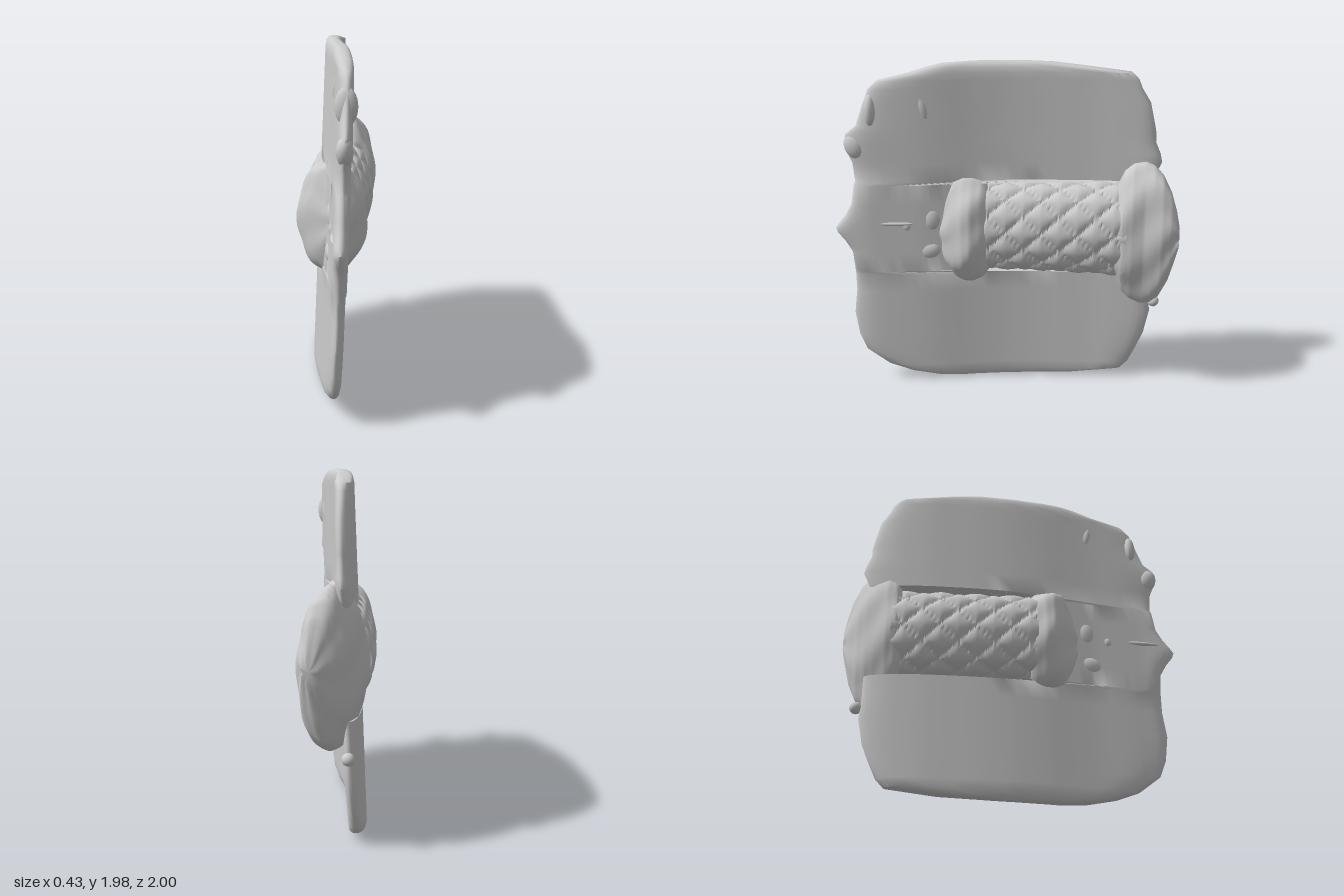
import * as THREE from 'three';
import { toCreasedNormals } from 'three/addons/utils/BufferGeometryUtils.js';

const material = new THREE.MeshStandardMaterial({ color: 0xcccccc });

// Piecewise linear lookup in a list of [key, value, value...] rows
function sample(rows, k) {
  if (k <= rows[0][0]) return rows[0];
  for (let i = 1; i < rows.length; i++) {
    if (k <= rows[i][0]) {
      const a = rows[i - 1], b = rows[i];
      const f = (k - a[0]) / (b[0] - a[0] || 1);
      return a.map((v, j) => v + (b[j] - v) * f);
    }
  }
  return rows[rows.length - 1];
}

// Closed skin over rings with equal point counts, capped at both ends
function loft(rings) {
  const n = rings[0].length, pos = [], index = [];
  rings.forEach((r) => r.forEach((p) => pos.push(p.x, p.y, p.z)));
  for (let i = 0; i < rings.length - 1; i++) {
    for (let j = 0; j < n; j++) {
      const a = i * n + j, b = i * n + (j + 1) % n;
      index.push(a, b, a + n, b, b + n, a + n);
    }
  }
  [0, rings.length - 1].forEach((e) => {
    const c = new THREE.Vector3();
    rings[e].forEach((p) => c.addScaledVector(p, 1 / n));
    const m = pos.length / 3;
    pos.push(c.x, c.y, c.z);
    for (let j = 0; j < n; j++) {
      const a = e * n + j, b = e * n + (j + 1) % n;
      if (e === 0) index.push(m, b, a);
      else index.push(m, a, b);
    }
  });
  // turn the faces outward if the enclosed volume is negative
  let volume = 0;
  const v = (i) => new THREE.Vector3().fromArray(pos, i * 3);
  for (let i = 0; i < index.length; i += 3) volume += v(index[i]).dot(v(index[i + 1]).cross(v(index[i + 2])));
  if (volume < 0) index.reverse();
  const g = new THREE.BufferGeometry();
  g.setAttribute('position', new THREE.Float32BufferAttribute(pos, 3));
  g.setIndex(index);
  return toCreasedNormals(g, 0.9);
}

// Bent, slightly tilted middle surface of the plate: z -> x
const bend = [[-0.9, -0.07], [-0.7, -0.083], [-0.5, -0.085], [-0.2, -0.065], [0, -0.04],
  [0.2, 0], [0.35, 0.04], [0.5, 0.075], [0.8, 0.125], [1, 0.14]];
const plateX = (z, y) => sample(bend, z)[1] + 0.04 * (y - 1);

// Plate outline: y, front z, back z, half thickness; the middle rows leave a slot for the grip
const outline = [
  [0, 0.3, -0.1, 0.02], [0.015, 0.44, -0.45, 0.04], [0.05, 0.6, -0.7, 0.05], [0.1, 0.73, -0.745, 0.05],
  [0.2, 0.86, -0.79, 0.05], [0.3, 0.9, -0.83, 0.05], [0.45, 0.92, -0.86, 0.05], [0.6, 0.9, -0.85, 0.05],
  [0.71, 0.9, -0.85, 0.05], [0.73, 0.9, 0.12, 0.05], [0.85, 0.91, 0.12, 0.05], [0.92, 0.95, 0.12, 0.05],
  [0.97, 0.99, 0.12, 0.05], [1, 1, 0.12, 0.05], [1.03, 0.98, 0.12, 0.05], [1.08, 0.94, 0.12, 0.05],
  [1.15, 0.9, 0.12, 0.05], [1.27, 0.88, 0.12, 0.05], [1.29, 0.87, -0.84, 0.05], [1.4, 0.88, -0.89, 0.05],
  [1.45, 0.9, -0.88, 0.05], [1.52, 0.92, -0.85, 0.05], [1.57, 0.91, -0.85, 0.05], [1.62, 0.85, -0.84, 0.05],
  [1.75, 0.8, -0.81, 0.05], [1.83, 0.77, -0.76, 0.05], [1.88, 0.72, -0.74, 0.05], [1.92, 0.55, -0.7, 0.05],
  [1.95, 0.45, -0.45, 0.045], [1.97, 0.37, -0.28, 0.035], [1.98, 0.2, -0.1, 0.015],
];

function plateGeometry() {
  const rings = outline.map(([y, zf, zb, t]) => {
    const ring = [];
    for (let j = 0; j < 64; j++) {
      const a = (j / 64) * Math.PI * 2, u = Math.cos(a);
      const z = (zf + zb) / 2 + (u * (zf - zb)) / 2;
      const half = t * Math.sqrt(Math.max(0, 1 - u ** 10)) * (z > 0.4 ? 1 - (z - 0.4) * 0.35 : 1);
      ring.push(new THREE.Vector3(plateX(z, y) + Math.sign(Math.sin(a)) * half, y, z));
    }
    return ring;
  });
  return loft(rings);
}

// Oval body along z from rows [z, centre x, half width, bottom y, top y]; relief pushes the skin out
function ovalBody(rows, steps, relief = () => 0) {
  const rings = [], first = rows[0][0], last = rows[rows.length - 1][0];
  for (let i = 0; i <= steps; i++) {
    const z = first + ((last - first) * i) / steps;
    const [, cx, rx, y0, y1] = sample(rows, z);
    const ring = [];
    for (let j = 0; j < 72; j++) {
      const a = (j / 72) * Math.PI * 2, d = relief(z, a);
      ring.push(new THREE.Vector3(cx + Math.cos(a) * (rx + d), (y0 + y1) / 2 + Math.sin(a) * ((y1 - y0) / 2 + d), z));
    }
    rings.push(ring);
  }
  return loft(rings);
}

export function createModel() {
  const model = new THREE.Group();
  const add = (name, geometry, parent = model) => {
    const mesh = new THREE.Mesh(geometry, material);
    mesh.name = name;
    parent.add(mesh);
    return mesh;
  };

  add('plate', plateGeometry());

  // Grip with crossing cords that leave raised diamonds
  const diamonds = (z, a) => {
    const p = Math.abs(Math.sin(z * 15 + a * 4)), q = Math.abs(Math.sin(z * 15 - a * 4));
    return 0.028 * Math.sqrt(Math.min(p, q)) - 0.016;
  };
  add('grip', ovalBody([[-0.7, -0.015, 0.18, 0.72, 1.28], [-0.5, -0.02, 0.19, 0.73, 1.275],
    [-0.2, -0.018, 0.18, 0.735, 1.27], [0.15, -0.015, 0.17, 0.735, 1.265]], 90, diamonds));

  // Collar between grip and plate
  const wobble = (z, a) => 0.006 * Math.sin(a * 7 + z * 20);
  add('collar', ovalBody([[0.11, 0, 0.16, 0.72, 1.26], [0.14, 0.005, 0.18, 0.68, 1.3], [0.2, 0.01, 0.205, 0.66, 1.315],
    [0.25, 0.012, 0.195, 0.66, 1.32], [0.31, 0.022, 0.14, 0.68, 1.31], [0.36, 0.035, 0.085, 0.75, 1.2],
    [0.4, 0.045, 0.04, 0.85, 1.1]], 24, wobble));

  // Flared end cap, drawn toward +x at its tip
  add('endCap', ovalBody([[-1, 0.1, 0.035, 0.94, 1.06], [-0.98, 0.085, 0.06, 0.85, 1.16], [-0.95, 0.065, 0.095, 0.73, 1.26],
    [-0.9, 0.04, 0.13, 0.61, 1.35], [-0.85, 0.02, 0.145, 0.555, 1.395], [-0.8, 0.005, 0.155, 0.545, 1.41],
    [-0.73, -0.005, 0.18, 0.58, 1.4], [-0.68, -0.01, 0.185, 0.63, 1.36], [-0.64, -0.015, 0.165, 0.72, 1.27]], 36, wobble));

  // Small lumps on the plate: z, y, half length, half height, half depth, tilt
  const lumps = new THREE.Group();
  lumps.name = 'lumps';
  model.add(lumps);
  [[0.47, 1.74, 0.04, 0.12, 0.055, 0.25], [0.76, 1.71, 0.04, 0.1, 0.06, 0], [0.86, 1.5, 0.06, 0.08, 0.045, 0.4],
    [0.58, 1.02, 0.04, 0.05, 0.055, 0], [0.46, 0.86, 0.09, 0.07, 0.06, 0.3], [0.44, 1.06, 0.07, 0.1, 0.06, 0],
    [0.72, 1.035, 0.2, 0.02, 0.047, 0], [-0.88, 0.52, 0.035, 0.035, 0.035, 0]].forEach(([z, y, l, h, d, tilt]) => {
    const lump = add('lump', new THREE.SphereGeometry(1, 20, 14), lumps);
    lump.scale.set(d, h, l);
    lump.position.set(plateX(z, y), y, z);
    lump.rotation.x = tilt;
  });

  return model;
}
